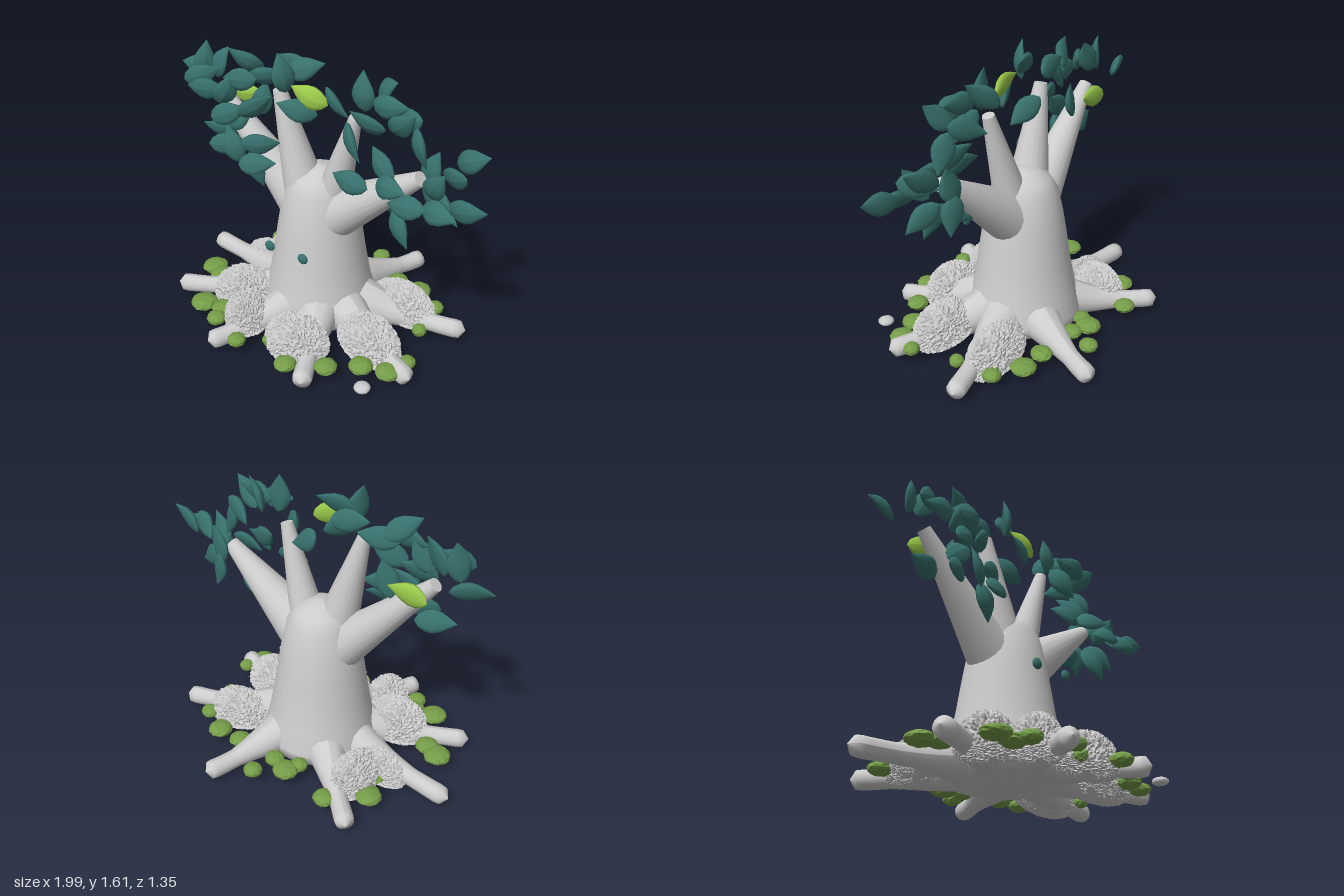
import * as THREE from 'three';

const mat = (name, color) => Object.assign(new THREE.MeshStandardMaterial({ color }), { name });
const V = (x, y, z) => new THREE.Vector3(x, y, z);

// Repeatable value from 0 to 1 for a point in space
function hash(x, y, z) {
  const s = Math.sin(Math.round(x * 500) * 12.9898 + Math.round(y * 500) * 78.233 + Math.round(z * 500) * 37.719) * 4375.85;
  return s - Math.floor(s);
}

// Tube along a curve whose radius follows a list of values, with a rounded tip
function taperedTube(points, radii, sides = 14, rows = 24) {
  const curve = new THREE.CatmullRomCurve3(points);
  const geo = new THREE.TubeGeometry(curve, rows, 1, sides);
  const pos = geo.attributes.position, v = V(0, 0, 0);
  for (let i = 0; i <= rows; i++) {
    const t = i / rows, c = curve.getPointAt(t);
    const f = t * (radii.length - 1), k = Math.min(Math.floor(f), radii.length - 2);
    let r = THREE.MathUtils.lerp(radii[k], radii[k + 1], f - k);
    if (t > 0.93) r *= Math.sqrt(Math.max(0, 1 - ((t - 0.93) / 0.07) ** 2));
    for (let j = 0; j <= sides; j++) {
      const n = i * (sides + 1) + j;
      v.fromBufferAttribute(pos, n).sub(c).multiplyScalar(r).add(c);
      pos.setXYZ(n, v.x, v.y, v.z);
    }
  }
  geo.computeVertexNormals();
  return geo;
}

// Faceted ball with a rough surface; its lower half can be made shallower
function roughBall(detail, amount, lower = 1) {
  const geo = new THREE.IcosahedronGeometry(1, detail), pos = geo.attributes.position;
  for (let i = 0; i < pos.count; i++) {
    const x = pos.getX(i), y = pos.getY(i), z = pos.getZ(i);
    const s = 1 + (hash(x, y, z) - 0.5) * amount;
    pos.setXYZ(i, x * s, y * s * (y < 0 ? lower : 1), z * s);
  }
  geo.computeVertexNormals();
  return geo;
}

export function createModel() {
  const model = new THREE.Group();
  model.name = 'tree';
  const bark = mat('pale bark', 0xcccccc);
  const teal = mat('teal leaf', 0x38716d);
  const lime = mat('lime leaf', 0x9bca4b);
  const moss = mat('moss green', 0x769d49);
  const add = (name, geo, material, parent = model) => {
    const m = new THREE.Mesh(geo, material);
    m.name = name;
    parent.add(m);
    return m;
  };
  const group = (name) => {
    const g = new THREE.Group();
    g.name = name;
    model.add(g);
    return g;
  };

  // Trunk with a flared foot and a domed top
  const profile = [[0, 0.05], [0.26, 0.05], [0.32, 0.08], [0.325, 0.14], [0.295, 0.24], [0.262, 0.42],
    [0.238, 0.58], [0.218, 0.7], [0.185, 0.85], [0.14, 0.925], [0.07, 0.965], [0, 0.975]];
  const trunk = add('trunk', new THREE.LatheGeometry(profile.map(p => new THREE.Vector2(...p)), 32), bark);
  trunk.position.set(-0.04, 0, -0.012);

  // Four straight tapering branches
  const branches = group('branches');
  [
    [V(-0.17, 0.73, 0), V(-0.67, 1.26, 0.02), 0.13, 0.037],
    [V(-0.11, 0.8, 0.02), V(-0.255, 1.38, 0.04), 0.12, 0.036],
    [V(0.05, 0.8, 0), V(0.205, 1.34, 0.03), 0.1, 0.033],
    [V(0.06, 0.71, 0), V(0.58, 1.11, 0.02), 0.148, 0.04],
  ].forEach(([a, b, r0, r1]) => {
    const dir = b.clone().sub(a);
    const m = add('branch', new THREE.CylinderGeometry(r1, r0, dir.length(), 20), bark, branches);
    m.position.copy(a).lerp(b, 0.5);
    m.quaternion.setFromUnitVectors(V(0, 1, 0), dir.normalize());
  });

  // Roots flowing out of the foot, each ending in a small knob
  const roots = group('roots');
  [[-0.57, -0.59], [0.28, -0.68], [0.81, -0.2], [-0.92, -0.13], [-0.81, 0.36], [-0.32, 0.67],
    [0.29, 0.65], [0.74, 0.31]].forEach(([x, z]) => {
    const length = Math.hypot(x, z);
    const at = (d, y) => V(x * d / length, y, z * d / length);
    add('root', taperedTube([at(0.1, 0.185), at(0.27, 0.145), at(0.46, 0.11), at(length - 0.12, 0.09), at(length, 0.09)],
      [0.14, 0.128, 0.108, 0.085, 0.065, 0.05, 0.052, 0.054]), bark, roots);
  });

  // Loose pebble
  const pebble = add('pebble', new THREE.IcosahedronGeometry(0.045, 1), bark);
  pebble.position.set(0.57, 0.1, 0.5);
  pebble.scale.y = 0.5;

  // Rough gravel domes sloping outward over the roots: x, z, half width, half depth, top, turn
  const mounds = group('mounds');
  const moundGeo = roughBall(20, 0.12, 0.4);
  [[-0.42, -0.27, 0.12, 0.17, 0.26, -0.2], [-0.5, -0.13, 0.16, 0.09, 0.22, 0], [0.42, -0.17, 0.205, 0.125, 0.26, 0],
    [0.42, 0.19, 0.195, 0.14, 0.26, -0.2], [0.09, 0.4, 0.185, 0.15, 0.265, 0], [-0.25, 0.39, 0.13, 0.14, 0.27, 0],
    [-0.4, 0.23, 0.185, 0.14, 0.28, 0.2]].forEach(([x, z, rx, rz, top, turn]) => {
    const m = add('mound', moundGeo, bark, mounds);
    const h = (top - 0.03) / 1.4;
    m.scale.set(rx, h, rz);
    m.position.set(x, top - h, z);
    m.rotation.y = turn;
    m.rotateOnWorldAxis(V(z, 0, -x).normalize(), 0.2);
  });

  // Flattened moss clumps around the rim: x, z, radius
  const clumps = group('moss clumps');
  const clumpGeo = roughBall(3, 0.12);
  [[-0.37, -0.49, 0.06], [-0.56, -0.35, 0.07], [-0.5, -0.2, 0.07], [-0.08, -0.43, 0.07], [0.07, -0.53, 0.052],
    [0.02, -0.39, 0.055], [-0.12, -0.36, 0.05], [0.28, -0.37, 0.06], [0.43, -0.36, 0.068], [0.58, -0.27, 0.05],
    [-0.72, 0.13, 0.075], [-0.64, 0.17, 0.065], [-0.55, 0.43, 0.075], [-0.42, 0.41, 0.07], [-0.4, 0.5, 0.055],
    [-0.19, 0.58, 0.05], [-0.04, 0.48, 0.04], [0.14, 0.58, 0.06], [0.23, 0.53, 0.045], [0.33, 0.48, 0.06],
    [0.48, 0.37, 0.065], [0.62, 0.33, 0.065], [0.67, 0.21, 0.045], [0.6, -0.05, 0.04]].forEach(([x, z, r], i) => {
    const m = add('moss clump', clumpGeo, moss, clumps);
    m.position.set(x, 0.1, z);
    m.scale.set(r, 0.034, r);
    m.rotation.y = i;
  });

  // Two flattened bead eyes in front of the trunk
  const eyes = group('eyes');
  for (const x of [-0.145, 0.07]) {
    const eye = add('eye', new THREE.SphereGeometry(0.03, 16, 12), teal, eyes);
    eye.position.set(x, 0.59, 0.31);
    eye.scale.z = 0.55;
  }

  // Plump pointed leaf, slightly arched, pointing along x
  const leafProfile = [[0, -0.105], [0.036, -0.082], [0.057, -0.045], [0.063, -0.01], [0.053, 0.03],
    [0.03, 0.07], [0, 0.115]];
  const leafGeo = new THREE.LatheGeometry(leafProfile.map(p => new THREE.Vector2(...p)), 10);
  leafGeo.scale(1, 1, 0.4).rotateZ(-Math.PI / 2);
  const lp = leafGeo.attributes.position;
  for (let i = 0; i < lp.count; i++) lp.setZ(i, lp.getZ(i) - 1.2 * lp.getX(i) ** 2);
  leafGeo.computeVertexNormals();

  // Leaves: x, y, z and direction of the tip in degrees
  const leaves = group('leaves');
  const leaf = (x, y, z, deg, yaw, roll, material) => {
    const m = add('leaf', leafGeo, material, leaves);
    m.position.set(x, y, z);
    m.rotation.set(roll, yaw, deg * Math.PI / 180, 'YZX');
  };
  const leftSpots = [
    [-0.88, 1.33, -0.05, 175], [-0.77, 1.41, 0.03, 80], [-0.67, 1.42, 0.02, 62], [-0.72, 1.37, 0.12, 20],
    [-0.54, 1.33, 0.13, 60], [-0.67, 1.32, 0.16, 185], [-0.46, 1.49, 0.05, 150], [-0.46, 1.41, 0.12, 190],
    [-0.35, 1.42, 0.02, 10], [-0.51, 1.22, 0.17, 20], [-0.49, 1.17, 0.1, 40], [-0.36, 1.28, 0.13, 30],
    [-0.43, 1.24, -0.03, 75], [-0.67, 1.03, 0.05, 175], [-0.54, 1.02, 0.15, 5], [-0.45, 1.06, 0.2, 110],
    [-0.31, 1.09, 0.16, 5], [-0.31, 0.99, 0.2, 10], [-0.35, 0.92, 0.15, 290], [-0.17, 1.51, 0.12, 100],
    [-0.22, 1.5, -0.04, 170], [-0.1, 1.53, 0.04, 20], [-0.07, 1.35, 0.14, 165]];
  const rightSpots = [
    [0.02, 1.33, -0.06, -30], [0.25, 1.49, 0.04, 95], [0.33, 1.5, -0.04, 40], [0.4, 1.46, 0.05, 10],
    [0.5, 1.41, 0.1, 40], [0.46, 1.37, -0.04, 200], [0.34, 1.4, 0.15, 170], [0.25, 1.27, 0.15, -50],
    [0.56, 1.27, 0.02, -70], [0.8, 1.24, -0.06, 30], [0.75, 1.17, 0.02, 200], [0.26, 1.06, 0.17, 175],
    [0.4, 1.17, 0.1, 150], [0.48, 1.1, 0.17, 10], [0.6, 1.13, -0.05, 75], [0.69, 1.13, 0.09, 55],
    [0.88, 1.09, 0.14, 15], [0.75, 1.05, 0.17, 5], [0.72, 0.99, 0.02, -35], [0.59, 1.04, 0.19, 190],
    [0.53, 0.86, 0.13, -55], [0.42, 0.9, 0.02, 200], [0.6, 0.98, -0.06, -80]];
  [[leftSpots, 0.3], [rightSpots, -0.3]].forEach(([spots, lean]) => spots.forEach(([x, y, z, deg], i) =>
    leaf(x, y, z, deg, lean + 0.25 * Math.sin(i * 2.4), 0.45 * Math.sin(i * 1.7 + 1), teal)));
  leaf(-0.02, 1.425, 0.11, 163, 0.12, 0.15, lime);
  leaf(-0.58, 1.23, -0.08, 10, 0, 0, lime);

  return model;
}
